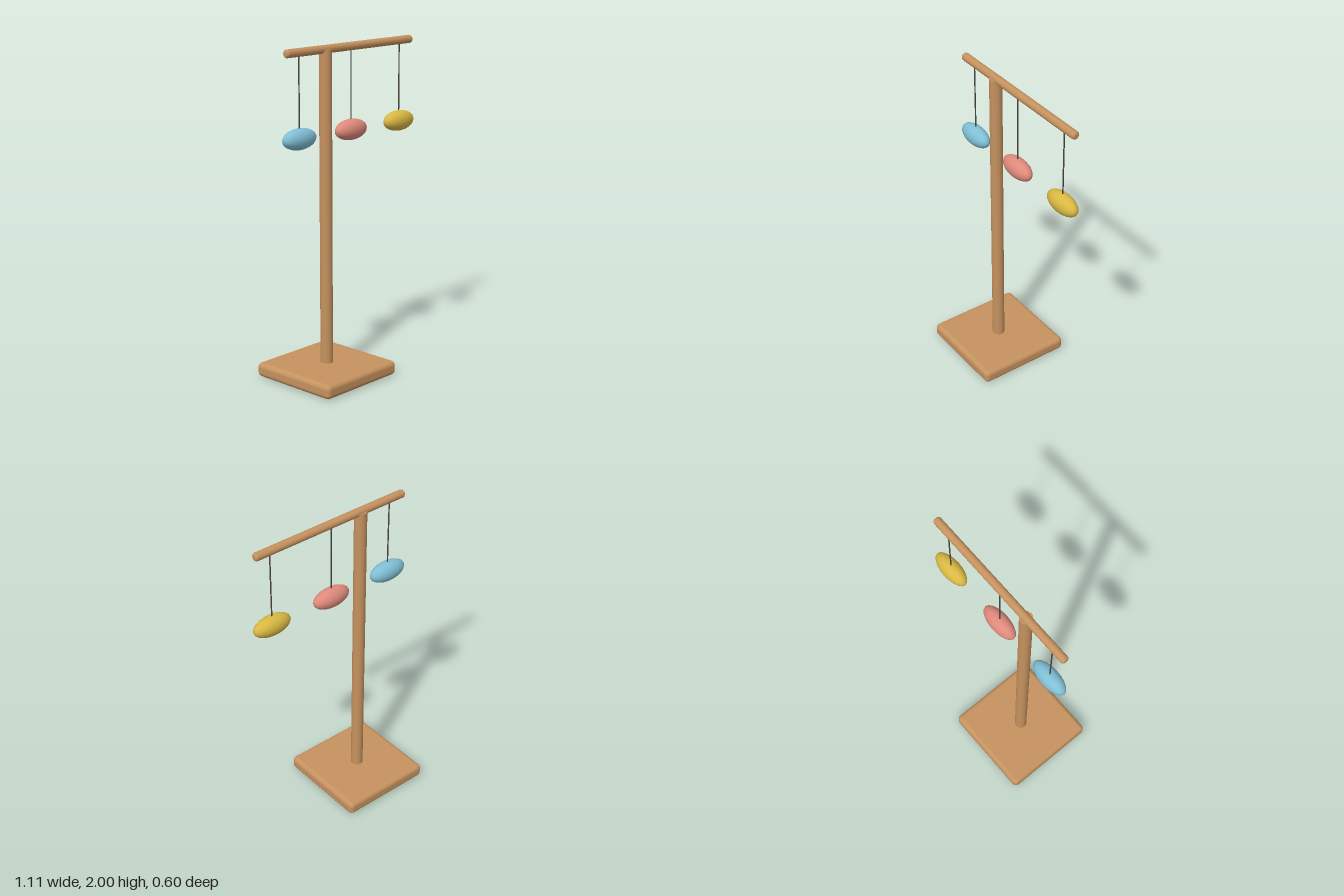
import * as THREE from 'three';
import { RoundedBoxGeometry } from 'three/addons/geometries/RoundedBoxGeometry.js';

export function createModel() {
  const mat = (name, color) => Object.assign(new THREE.MeshStandardMaterial({ color }), { name });
  const wood = mat('wood', 0xc6925f);
  const cord = mat('cord', 0x4a4540);
  const blue = mat('blue', 0x80bfd6);
  const coral = mat('coral', 0xdf8a7b);
  const yellow = mat('yellow', 0xd9b843);

  const model = new THREE.Group();
  model.name = 'hangingMobile';
  const add = (parent, name, geometry, material, x, y, z = 0) => {
    const mesh = new THREE.Mesh(geometry, material);
    mesh.name = name;
    mesh.position.set(x, y, z);
    parent.add(mesh);
    return mesh;
  };

  // Square base and offset upright
  const postX = -0.215;
  add(model, 'base', new RoundedBoxGeometry(0.6, 0.088, 0.6, 4, 0.03), wood, postX, 0.044);
  add(model, 'post', new THREE.CylinderGeometry(0.038, 0.038, 1.91, 20), wood, postX, 1.02);

  // Crossbar: a rod with softened ends
  const r = 0.025, half = 0.535, round = 0.015;
  const profile = [new THREE.Vector2(0, -half)];
  for (const side of [-1, 1]) {
    for (let i = 0; i <= 4; i++) {
      const a = (side < 0 ? i : 4 - i) / 4 * Math.PI / 2;
      profile.push(new THREE.Vector2(r - round + round * Math.sin(a), side * (half - round + round * Math.cos(a))));
    }
  }
  profile.push(new THREE.Vector2(0, half));
  const bar = add(model, 'crossbar', new THREE.LatheGeometry(profile, 16), wood, 0, 1.975);
  bar.rotation.z = -Math.PI / 2;

  // Three flattened beads on cords
  const beadGeometry = new THREE.SphereGeometry(1, 20, 14).scale(0.127, 0.063, 0.056);
  const cordGeometry = new THREE.CylinderGeometry(0.004, 0.004, 0.43, 8);
  [['left', 0.43, yellow], ['middle', 0, coral], ['right', -0.43, blue]].forEach(([name, x, material]) => {
    const pendant = new THREE.Group();
    pendant.name = name + 'Pendant';
    pendant.position.x = x;
    add(pendant, name + 'Cord', cordGeometry, cord, 0, 1.75);
    add(pendant, name + 'Bead', beadGeometry, material, 0, 1.483);
    model.add(pendant);
  });

  return model;
}
